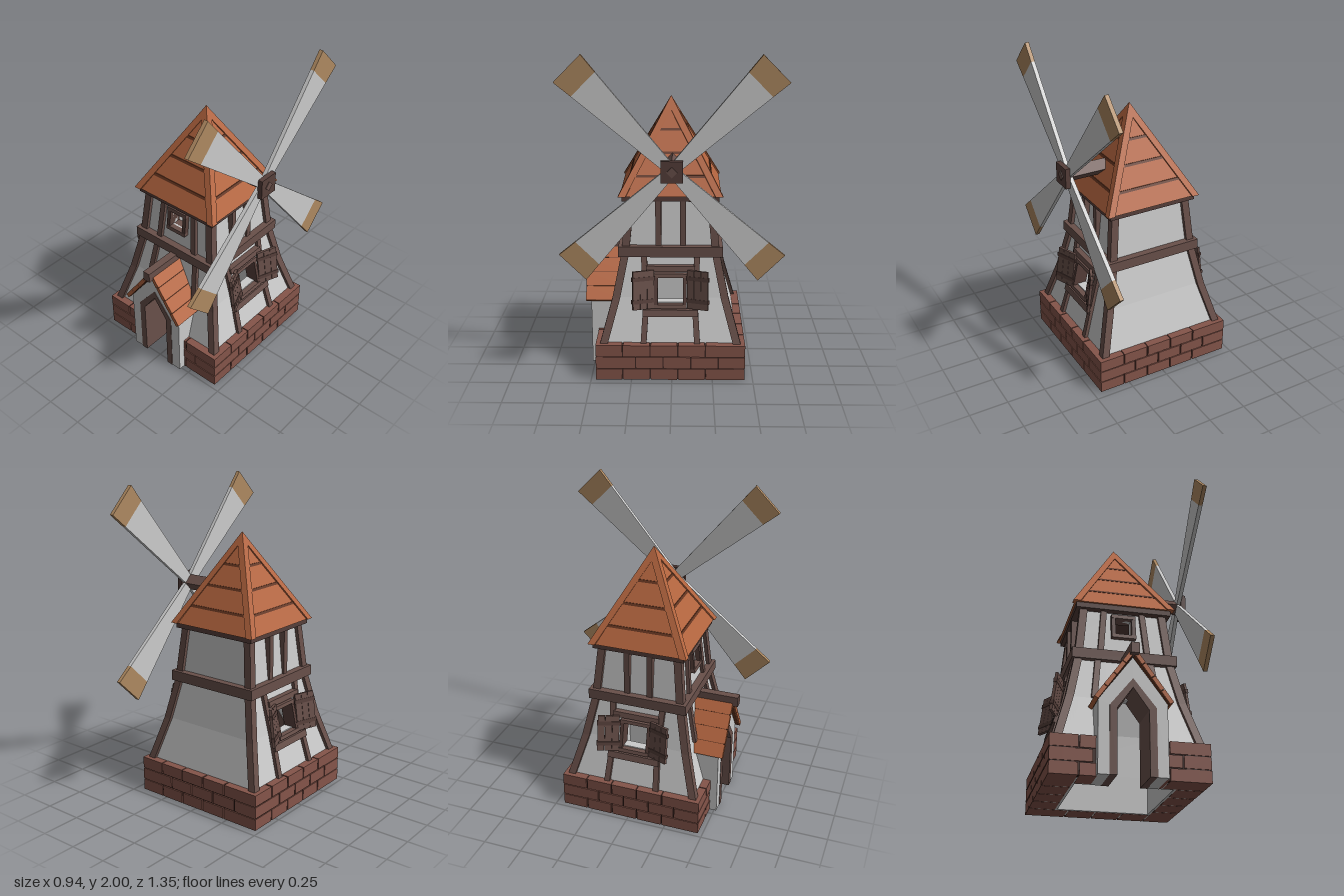
import * as THREE from 'three';

const mat = (color) => new THREE.MeshStandardMaterial({ color, flatShading: true });
const plaster = mat(0xcccccc), wood = mat(0x69504a), darkWood = mat(0x563f3a), brick = mat(0x85554a),
  mortar = mat(0x3f2823), tile = mat(0xb4653f), tileGap = mat(0x63341f), tan = mat(0xae8961);

function add(parent, name, geometry, material) {
  const mesh = new THREE.Mesh(geometry, material);
  mesh.name = name;
  parent.add(mesh);
  return mesh;
}

function box(parent, name, material, w, h, d, x, y, z) {
  const mesh = add(parent, name, new THREE.BoxGeometry(w, h, d), material);
  mesh.position.set(x, y, z);
  return mesh;
}

// Solid between two four-cornered horizontal sections, corners [x, z] clockwise from above
function frustum(parent, name, material, y0, low, y1, high) {
  const pos = [...low.map(([x, z]) => [x, y0, z]), ...high.map(([x, z]) => [x, y1, z])].flat();
  const index = [0, 1, 2, 0, 2, 3, 4, 7, 6, 4, 6, 5];
  for (let i = 0; i < 4; i++) {
    const j = (i + 1) % 4;
    index.push(j, i, i + 4, j, i + 4, j + 4);
  }
  const indexed = new THREE.BufferGeometry();
  indexed.setAttribute('position', new THREE.Float32BufferAttribute(pos, 3));
  indexed.setIndex(index);
  const g = indexed.toNonIndexed();
  g.computeVertexNormals();
  return add(parent, name, g, material);
}

const rect = (a, b, near, far) => [[a, near], [b, near], [b, far], [a, far]];
const square = (h) => rect(-h, h, -h, h);

// Half width of the flared tower at height y
const KNOTS = [[0, 0.41], [0.23, 0.41], [0.5, 0.335], [0.77, 0.28], [1.12, 0.245]];
function half(y) {
  for (let i = 1; i < KNOTS.length; i++) {
    const [ya, ha] = KNOTS[i - 1], [yb, hb] = KNOTS[i];
    if (y <= yb) return ha + (hb - ha) * (y - ya) / (yb - ya);
  }
  return 0.245;
}

// Bar lying on the wall, from span [a0, b0] at y0 to [a1, b1] at y1
function bar(parent, name, material, y0, [a0, b0], y1, [a1, b1], inner = -0.015, outer = 0.022) {
  return frustum(parent, name, material, y0, rect(a0, b0, half(y0) + inner, half(y0) + outer),
    y1, rect(a1, b1, half(y1) + inner, half(y1) + outer));
}

// Leaning timber that follows the bend of the wall
function timber(parent, ys, us, w = 0.036) {
  for (let i = 1; i < ys.length; i++) {
    bar(parent, 'wallTimber', wood, ys[i - 1], [us[i - 1] - w / 2, us[i - 1] + w / 2],
      ys[i], [us[i] - w / 2, us[i] + w / 2]);
  }
}

// Wall built of cells, leaving out those for which isHole is true; upright inside, flared outside
function wall(parent, ys, cols, isHole) {
  for (let r = 1; r < ys.length; r++) {
    const lo = ys[r - 1], hi = ys[r];
    for (let c = 0; c <= cols.length; c++) {
      const section = (y) => rect(c ? cols[c - 1] : -half(y), c < cols.length ? cols[c] : half(y),
        Math.min(half(y) - 0.04, 0.285), half(y));
      const low = section(lo);
      if (isHole((low[0][0] + low[1][0]) / 2, (lo + hi) / 2)) continue;
      frustum(parent, 'wall', plaster, lo, low, hi, section(hi));
    }
  }
}

// Three courses of brick along one side
function bricks(parent, ranges) {
  for (const [a, b] of ranges) {
    box(parent, 'mortar', mortar, b - a - 0.01, 0.222, 0.14, (a + b) / 2, 0.114, 0.382);
    for (let row = 0; row < 3; row++) {
      for (let u = -0.46 - (row % 2) * 0.09; u < 0.46; u += 0.17) {
        const l = Math.max(a, u), r = Math.min(b, u + 0.162);
        if (r - l > 0.015) box(parent, 'brick', brick, r - l, 0.072, 0.16, (l + r) / 2, 0.036 + row * 0.0785, 0.38);
      }
    }
  }
}

// Deep rectangular window frame in the wall
function windowFrame(parent, w, y0, y1, t) {
  for (const s of [-1, 1]) {
    const span = [s * (w + t / 2) - t / 2, s * (w + t / 2) + t / 2];
    bar(parent, 'windowJamb', darkWood, y0, span, y1, span, -0.06, 0.03);
  }
  for (const y of [y0 - t, y1]) bar(parent, 'windowRail', wood, y, [-w - t, w + t], y + t, [-w - t, w + t], -0.06, 0.034);
}

// Open plank shutter, hinged beside the window
function shutter(parent, s) {
  const g = new THREE.Group();
  g.name = 'shutter';
  g.position.set(s * 0.104, 0.56, half(0.56) + 0.03);
  g.rotation.set(-0.13, -s * 0.42, 0);
  for (let i = 0; i < 3; i++) box(g, 'shutterPlank', wood, 0.044, 0.24, 0.018, s * (0.023 + i * 0.046), 0, 0);
  for (const y of [-0.07, 0.07]) box(g, 'shutterBatten', darkWood, 0.148, 0.025, 0.023, s * 0.069, y, 0);
  parent.add(g);
}

function polygon(points) {
  return new THREE.Shape(points.map(([x, y]) => new THREE.Vector2(x, y)));
}

// Pointed arch band, open at the bottom
function archBand([ow, oh, ot], [iw, ih, it], depth) {
  const s = polygon([[-ow, 0], [-iw, 0], [-iw, ih], [0, it], [iw, ih], [iw, 0], [ow, 0], [ow, oh], [0, ot], [-ow, oh]]);
  return new THREE.ExtrudeGeometry(s, { depth, bevelEnabled: false });
}

function porch(parent) {
  const g = new THREE.Group();
  g.name = 'porch';
  add(g, 'porchWall', archBand([0.2, 0.43, 0.7], [0.13, 0.4, 0.565], 0.22), plaster).position.z = 0.285;
  add(g, 'doorFrame', archBand([0.135, 0.4, 0.57], [0.092, 0.385, 0.515], 0.228), wood).position.z = 0.28;
  const slope = Math.atan2(0.305, 0.215), step = Math.hypot(0.305, 0.215) / 4;
  for (const s of [-1, 1]) {
    const side = new THREE.Group();
    side.name = 'porchRoof';
    side.position.set(0, 0.728, 0);
    side.rotation.z = -s * slope;
    box(side, 'roofUnderlay', tileGap, step * 4 - 0.01, 0.02, 0.24, s * step * 2, 0, 0.408);
    for (let i = 0; i < 4; i++) box(side, 'roofPlank', tile, step - 0.004, 0.026, 0.254, s * step * (i + 0.5), 0.004, 0.41);
    g.add(side);
  }
  box(g, 'ridgeBeam', wood, 0.05, 0.065, 0.3, 0, 0.735, 0.42);
  parent.add(g);
}

function sails() {
  const g = new THREE.Group();
  g.name = 'sails';
  g.position.set(0, 1.327, 0);
  box(g, 'axle', wood, 0.28, 0.072, 0.072, 0.308, 0, 0).rotation.x = Math.PI / 4;
  box(g, 'hub', darkWood, 0.032, 0.13, 0.13, 0.448, 0, 0);
  box(g, 'hubPin', wood, 0.01, 0.046, 0.046, 0.463, 0, 0).rotation.x = Math.PI / 4;
  for (let i = 0; i < 4; i++) {
    const blade = new THREE.Group();
    blade.name = 'sailBlade';
    blade.rotation.x = Math.PI / 4 + i * Math.PI / 2;
    const section = (w) => rect(0.409, 0.434, -w, w);
    frustum(blade, 'sailCloth', plaster, 0, section(0.03), 0.713, section(0.099));
    frustum(blade, 'sailTip', tan, 0.713, section(0.099), 0.84, section(0.112));
    g.add(blade);
  }
  return g;
}

export function createModel() {
  const model = new THREE.Group();
  model.name = 'windmill';
  const tower = new THREE.Group();
  tower.name = 'tower';
  tower.position.set(-0.01, 0, 0.01);
  model.add(tower, sails());

  const sides = ['frontSide', 'sailSide', 'backSide', 'farSide'].map((name, i) => {
    const side = new THREE.Group();
    side.name = name;
    side.rotation.y = i * Math.PI / 2;
    tower.add(side);
    return side;
  });

  // Parts shared by all four sides
  sides.forEach((side, i) => {
    bricks(side, i === 0 ? [[-0.46, -0.195], [0.195, 0.46]] : [[-0.46, 0.46]]);
    const ys = [0.23, 0.5, 0.77, 1.12];
    for (let k = 1; k < ys.length; k++) {
      const sec = (y) => rect(half(y) - 0.025, half(y) + 0.023, half(y) - 0.025, half(y) + 0.023);
      frustum(side, 'cornerPost', wood, ys[k - 1], sec(ys[k - 1]), ys[k], sec(ys[k]));
    }
    box(side, 'beltBeam', wood, 0.64, 0.065, 0.06, 0, 0.7875, 0.29);
    const hip = (h, inner) => [[h, h], [h - 0.045, h], [inner, inner], [h, h - 0.045]];
    frustum(side, 'roofHip', tile, 1.135, hip(0.318, 0.24), 1.62, hip(0.045, 0));
    for (const y of [1.24, 1.37, 1.5]) {
      const w = (v) => 0.308 * (1.682 - v) / 0.547;
      const sec = (v) => rect(-w(y) + 0.036, w(y) - 0.036, w(v) - 0.02, w(v) + 0.004);
      frustum(side, 'roofCourse', tileGap, y, sec(y), y + 0.014, sec(y + 0.014));
    }
  });

  // Front: doorway, small upper window, porch
  const front = sides[0];
  wall(front, [0.001, 0.23, 0.5, 0.77, 0.945, 1.055, 1.12], [-0.11, -0.05, 0.05, 0.11],
    (u, y) => (Math.abs(u) < 0.11 && y < 0.5) || (Math.abs(u) < 0.05 && y > 0.945 && y < 1.055));
  windowFrame(front, 0.05, 0.945, 1.055, 0.025);
  for (const s of [-1, 1]) {
    timber(front, [0.5, 0.77], [s * 0.19, s * 0.16]);
    timber(front, [0.8, 1.12], [s * 0.145, s * 0.118]);
  }
  porch(front);

  // Both flanks: shuttered window and timbers
  for (const side of [sides[1], sides[3]]) {
    wall(side, [0.001, 0.23, 0.47, 0.5, 0.63, 0.77, 1.12], [-0.08, 0.08],
      (u, y) => Math.abs(u) < 0.08 && y > 0.47 && y < 0.63);
    windowFrame(side, 0.078, 0.465, 0.63, 0.022);
    bar(side, 'windowLintel', wood, 0.665, [-0.15, 0.15], 0.7, [-0.15, 0.15], -0.01, 0.035);
    bar(side, 'windowSill', wood, 0.395, [-0.17, 0.17], 0.435, [-0.17, 0.17], -0.01, 0.035);
    for (const s of [-1, 1]) {
      timber(side, [0.23, 0.5, 0.77], [s * 0.165, s * 0.148, s * 0.165]);
      box(side, 'upperTimber', wood, 0.036, 0.32, 0.06, s * 0.075, 0.96, 0.258);
      shutter(side, s);
    }
  }

  // Plain back wall
  wall(sides[2], [0.001, 0.23, 0.5, 0.77, 1.12], [], () => false);

  // Main roof
  box(tower, 'eaveBoard', darkWood, 0.59, 0.036, 0.59, 0, 1.12, 0);
  frustum(tower, 'roof', tile, 1.135, square(0.308), 1.682, square(0.001));
  frustum(tower, 'roofCap', tile, 1.62, square(0.045), 1.7, square(0.001));
  return model;
}
